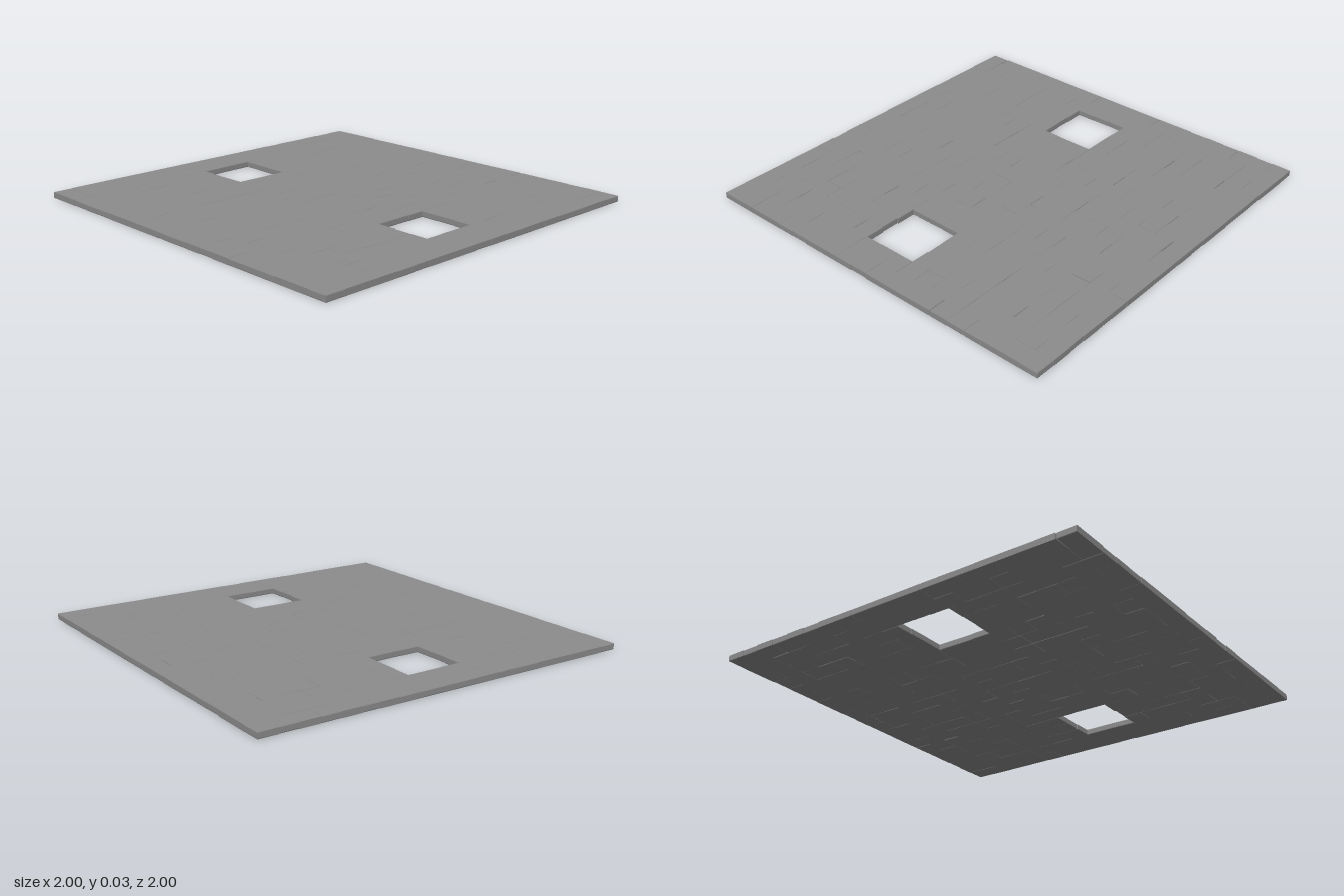
import * as THREE from 'three';
import { mergeGeometries } from 'three/addons/utils/BufferGeometryUtils.js';

const CELL = 0.1, COUNT = 20, HEIGHT = 0.03;
// Square openings: [left, right, back, front]
const OPENINGS = [[-0.2, 0.1, -0.8, -0.5], [-0.2, 0.1, 0.5, 0.8]];

let seed = 7;
function random() {
  seed = (seed * 16807) % 2147483647;
  return seed / 2147483647;
}
const spread = (amount) => (random() * 2 - 1) * amount;

const inOpening = (x, z) => OPENINGS.some(([l, r, b, f]) => x > l && x < r && z > b && z < f);

// One irregular cobble with chamfered edges; it may overlap its neighbours or leave a joint
function stoneGeometry(cx, cz) {
  const ox = cx + spread(0.003), oz = cz + spread(0.003);
  const halfX = CELL / 2 + 0.0012 + spread(0.0015), halfZ = CELL / 2 + 0.0012 + spread(0.0015);
  const corners = [[1, 1], [1, -1], [-1, -1], [-1, 1]].map(([sx, sz]) => [
    sx * halfX + spread(0.001), sz * halfZ + spread(0.001),
  ]);
  const levels = [[0, 0.975], [0.003, 1], [HEIGHT - 0.003, 1], [HEIGHT, 0.975]];
  const rings = levels.map(([y, s]) => corners.map(([x, z]) => [
    THREE.MathUtils.clamp(ox + x * s, -1, 1), y, THREE.MathUtils.clamp(oz + z * s, -1, 1),
  ]));
  const points = [];
  const quad = (a, b, c, d) => points.push(...a, ...b, ...c, ...a, ...c, ...d);
  for (let i = 0; i < 3; i++) {
    for (let k = 0; k < 4; k++) {
      const n = (k + 1) % 4;
      quad(rings[i][k], rings[i][n], rings[i + 1][n], rings[i + 1][k]);
    }
  }
  quad(...rings[3]);
  quad(...[...rings[0]].reverse());
  const geometry = new THREE.BufferGeometry();
  geometry.setAttribute('position', new THREE.Float32BufferAttribute(points, 3));
  geometry.computeVertexNormals();
  return geometry;
}

function rectangle(PathType, l, r, b, f) {
  // Shape y maps to -z once laid flat
  return new PathType([[l, -f], [r, -f], [r, -b], [l, -b]].map(([x, y]) => new THREE.Vector2(x, y)));
}

export function createModel() {
  const model = new THREE.Group();
  model.name = 'stonePavement';
  const stoneMaterial = new THREE.MeshStandardMaterial({ color: 0x8c8c8c, flatShading: true });
  const mossMaterial = new THREE.MeshStandardMaterial({ color: 0x245c1e });

  // Cobbles, one mesh for each row
  for (let row = 0; row < COUNT; row++) {
    const z = -1 + (row + 0.5) * CELL;
    const stones = [];
    for (let col = 0; col < COUNT; col++) {
      const x = -1 + (col + 0.5) * CELL;
      if (!inOpening(x, z)) stones.push(stoneGeometry(x, z));
    }
    const mesh = new THREE.Mesh(mergeGeometries(stones), stoneMaterial);
    mesh.name = `stoneRow${row + 1}`;
    model.add(mesh);
  }

  // Mossy bed filling the joints, cut back around the openings
  const bed = rectangle(THREE.Shape, -0.99, 0.99, -0.99, 0.99);
  for (const [l, r, b, f] of OPENINGS) {
    bed.holes.push(rectangle(THREE.Path, l - 0.01, r + 0.01, b - 0.01, f + 0.01));
  }
  const bedGeometry = new THREE.ExtrudeGeometry(bed, { depth: 0.006, bevelEnabled: false });
  bedGeometry.rotateX(-Math.PI / 2).translate(0, 0.012, 0);
  const moss = new THREE.Mesh(bedGeometry, mossMaterial);
  moss.name = 'mossBed';
  model.add(moss);
  return model;
}
